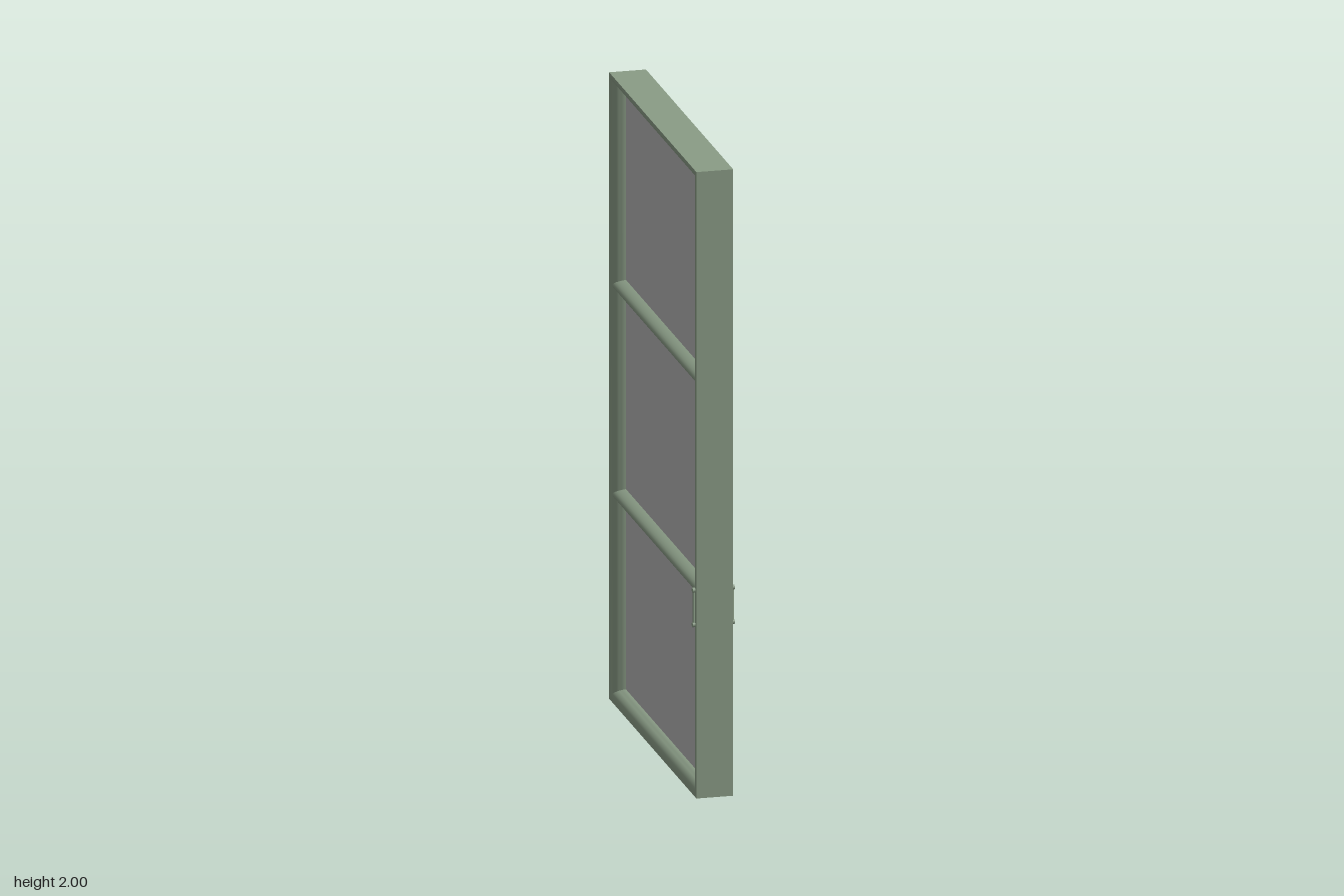
import * as THREE from 'three';
import { toCreasedNormals } from 'three/addons/utils/BufferGeometryUtils.js';

const H = 2, W = 0.53, D = 0.058;           // height, half width, half depth
const SIDE = 0.05, TOP = 0.035, BOTTOM = 0.042; // widths of the frame members
const PANE = 0.018;                          // half thickness of the panes

// Mitred ring: a profile with rounded inner shoulders, swept round a rectangle
function frameGeometry() {
  const profile = [[0, -D], [0, D]]; // [inset share, x]
  const arc = [];
  for (let i = 0; i <= 8; i++) {
    const a = (i / 8) * Math.PI / 2;
    arc.push([0.3 + 0.7 * Math.sin(a), PANE - 0.004 + (D - PANE + 0.004) * Math.cos(a)]);
  }
  profile.push(...arc, ...arc.map(([t, x]) => [t, -x]).reverse());

  const corners = [[1, 0], [-1, 0], [-1, 1], [1, 1]]; // [z sign, at top]
  const point = (k, j) => {
    const [sz, top] = corners[k % 4];
    const [t, x] = profile[j % profile.length];
    return [x, top ? H - t * TOP : t * BOTTOM, sz * (W - t * SIDE)];
  };
  const pos = [];
  for (let k = 0; k < 4; k++) {
    for (let j = 0; j < profile.length; j++) {
      const a = point(k, j), b = point(k + 1, j), c = point(k + 1, j + 1), d = point(k, j + 1);
      pos.push(...a, ...b, ...c, ...a, ...c, ...d);
    }
  }
  const g = new THREE.BufferGeometry();
  g.setAttribute('position', new THREE.Float32BufferAttribute(pos, 3));
  return toCreasedNormals(g, 0.6);
}

export function createModel() {
  const model = new THREE.Group();
  const green = new THREE.MeshStandardMaterial({ color: 0x8a9c86 });
  green.name = 'sage paint';
  const grey = new THREE.MeshStandardMaterial({ color: 0xb3b3b3 });
  grey.name = 'grey glass';

  const add = (name, geometry, material, parent = model) => {
    const mesh = new THREE.Mesh(geometry, material);
    mesh.name = name;
    parent.add(mesh);
    return mesh;
  };

  add('frame', frameGeometry(), green);

  // Horizontal glazing bars, rounded on both faces
  const barY = [0.66, 1.328];
  for (const y of barY) {
    const bar = add('glazingBar', new THREE.CylinderGeometry(1, 1, 1.03, 32), green);
    bar.geometry.rotateX(Math.PI / 2).scale(0.055, 0.0225, 1);
    bar.position.y = y;
  }

  // Three panes between the rails and bars
  const edges = [BOTTOM, ...barY, H - TOP];
  for (let i = 0; i < 3; i++) {
    const h = edges[i + 1] - edges[i];
    const pane = add('pane', new THREE.BoxGeometry(PANE * 2, h, 2 * (W - SIDE)), grey);
    pane.position.y = edges[i] + h / 2;
  }

  // Slim pull handle on each face, near the front edge
  for (const side of [-1, 1]) {
    const handle = new THREE.Group();
    handle.name = 'pullHandle';
    handle.position.set(side * 0.0615, 0, 0.511);
    model.add(handle);
    const grip = add('grip', new THREE.CylinderGeometry(0.004, 0.004, 0.11, 12), green, handle);
    grip.position.y = 0.605;
    for (const y of [0.55, 0.66]) {
      const mount = add('mount', new THREE.CylinderGeometry(0.008, 0.008, 0.009, 16), green, handle);
      mount.rotation.z = Math.PI / 2;
      mount.position.y = y;
    }
  }
  return model;
}
